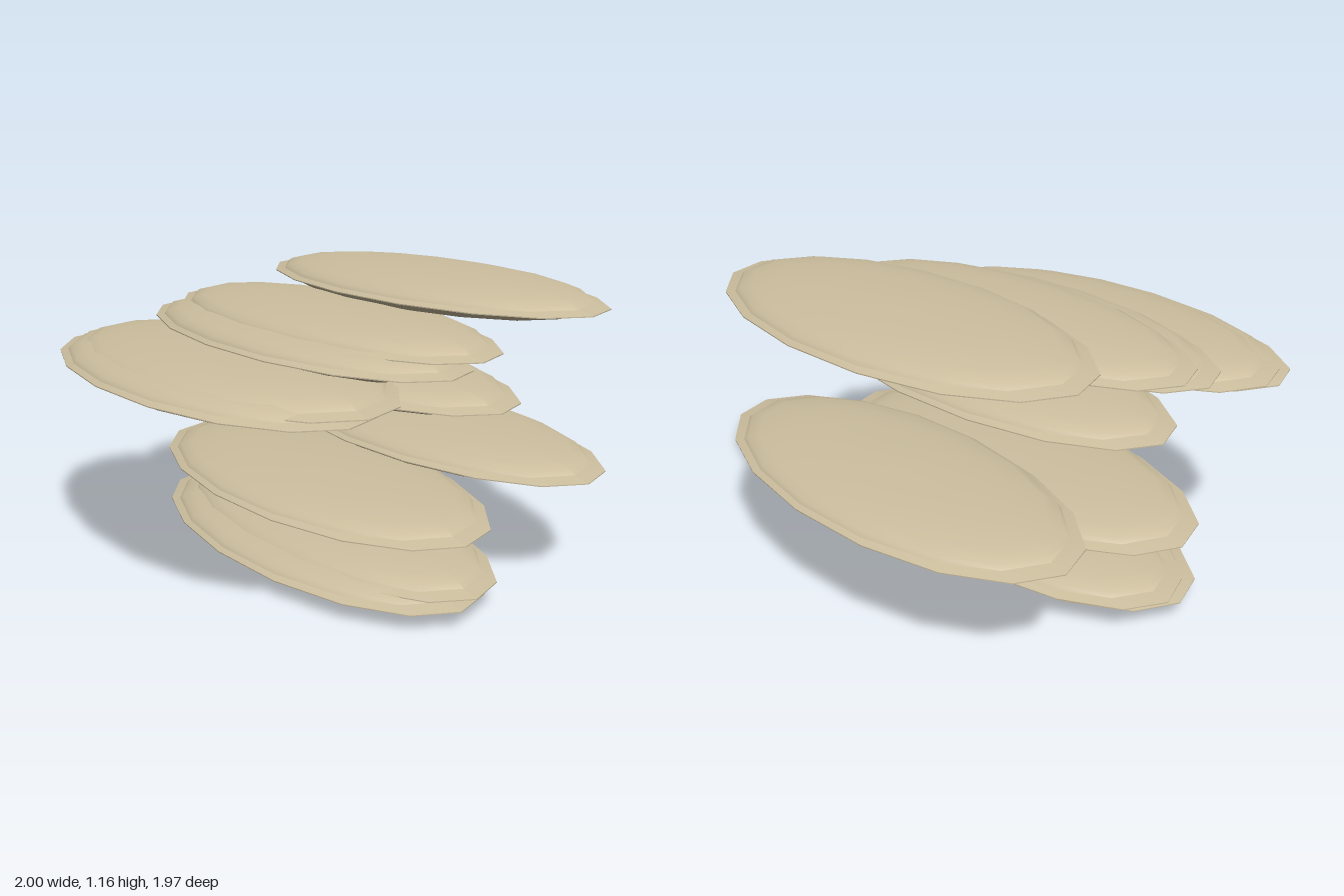
import * as THREE from 'three';

const DEPTH = 0.985;
const SIDES = 16;

// Lathe piece of unit radius; the shoulder ring runs slightly wider across x
function ring(points) {
  const geometry = new THREE.LatheGeometry(points.map(([r, y]) => new THREE.Vector2(r, y)), SIDES);
  const pos = geometry.attributes.position;
  for (let i = 0; i < pos.count; i++) {
    const r = Math.hypot(pos.getX(i), pos.getZ(i));
    if (r > 0.7 && r < 0.97) pos.setX(i, pos.getX(i) * 1.03);
  }
  geometry.computeVertexNormals();
  return geometry;
}

export function createModel() {
  const model = new THREE.Group();
  const sand = new THREE.MeshStandardMaterial({ color: 0xcdbf9f });
  sand.name = 'sand';

  // Pieces of one disc, separate so that the rim and shoulder stay crisp
  const pieces = {
    underside: ring([[0, -0.067], [0.4, -0.063], [0.65, -0.052], [0.82, -0.036], [0.925, -0.009]]),
    rimBottom: ring([[0.925, -0.009], [1, -0.002]]),
    rimEdge: ring([[1, -0.002], [1, 0.002]]),
    rimTop: ring([[1, 0.002], [0.925, 0.014]]),
    dome: ring([[0.925, 0.014], [0.9, 0.03], [0.82, 0.048], [0.65, 0.066], [0.4, 0.079], [0, 0.084]]),
  };

  // Each disc: centre x, rim height, half width
  const discs = [
    [-0.055, 0.068, 0.455],
    [0.015, 0.1, 0.425],
    [-0.045, 0.316, 0.475],
    [0.555, 0.438, 0.445],
    [0.1, 0.78, 0.415],
    [-0.55, 0.827, 0.45],
    [-0.47, 0.846, 0.47],
    [-0.13, 0.93, 0.41],
    [0.005, 0.975, 0.415],
    [0.522, 1.082, 0.458],
  ];

  discs.forEach(([x, y, halfWidth], i) => {
    const disc = new THREE.Group();
    disc.name = `disc${i + 1}`;
    for (const [name, geometry] of Object.entries(pieces)) {
      const mesh = new THREE.Mesh(geometry, sand);
      mesh.name = name;
      disc.add(mesh);
    }
    disc.scale.set(halfWidth, 1, DEPTH);
    disc.position.set(x, y, 0);
    model.add(disc);
  });

  return model;
}
